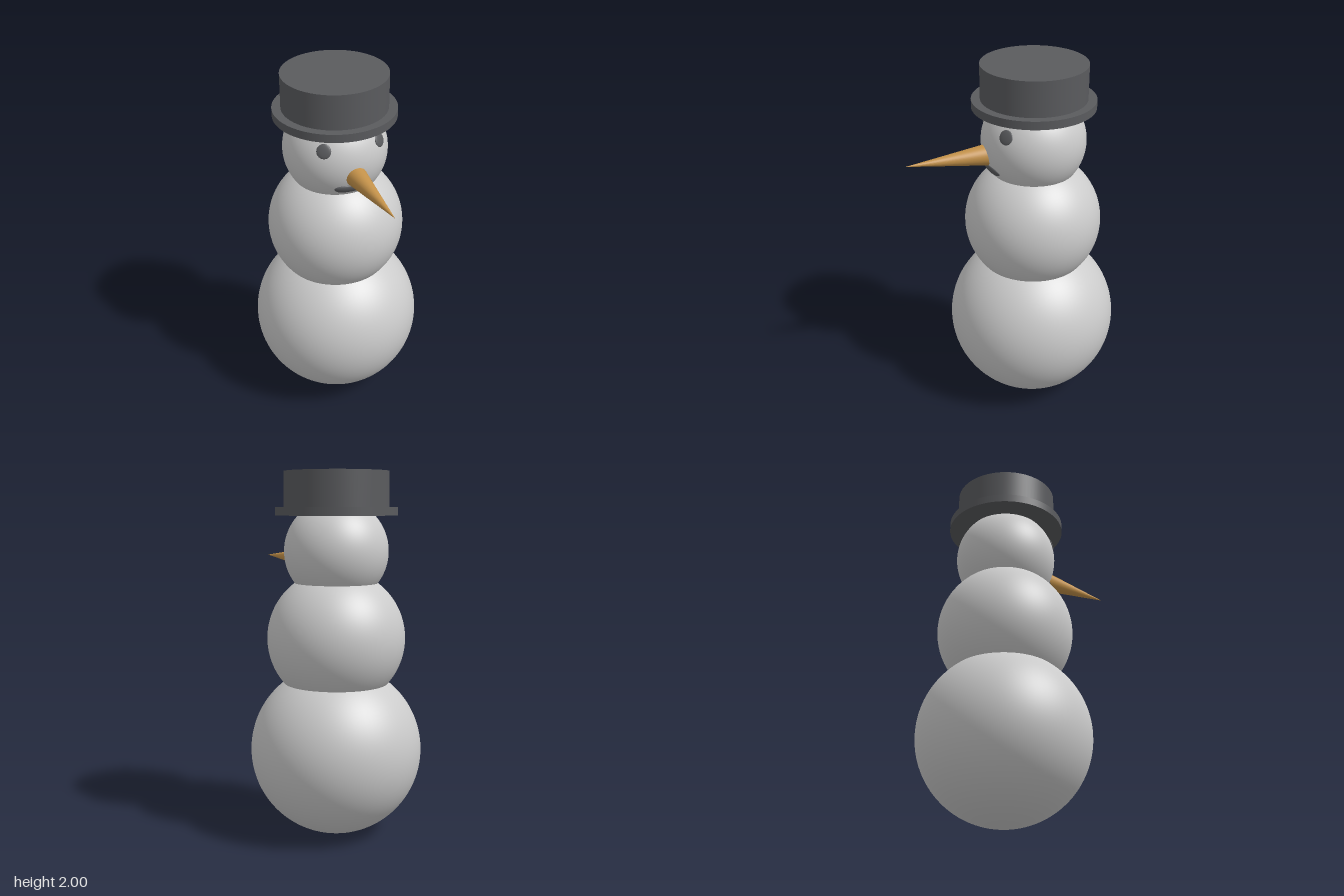
import * as THREE from 'three';

const AXIS_Z = -0.122;                       // the body's vertical axis
const HEAD = { r: 0.284, y: 1.573 };

const snow = new THREE.MeshStandardMaterial({ color: 0xcccccc });
const coal = new THREE.MeshStandardMaterial({ color: 0x5a5b5e });
const carrot = new THREE.MeshStandardMaterial({ color: 0xc4924a });

function add(parent, name, geometry, material, x, y, z) {
  const mesh = new THREE.Mesh(geometry, material);
  mesh.name = name;
  mesh.position.set(x, y, z);
  parent.add(mesh);
  return mesh;
}

// Lays a shape modelled in the xy plane onto the front of the head ball
function wrapOnHead(geometry, dy) {
  const p = geometry.attributes.position;
  const v = new THREE.Vector3();
  for (let i = 0; i < p.count; i++) {
    v.fromBufferAttribute(p, i);
    const offset = v.z;
    const y = v.y + dy;
    v.set(v.x, y, Math.sqrt(HEAD.r ** 2 - v.x ** 2 - y ** 2));
    v.multiplyScalar(1 + offset / HEAD.r);
    p.setXYZ(i, v.x, v.y, v.z);
  }
  geometry.computeVertexNormals();
  return geometry;
}

export function createModel() {
  const model = new THREE.Group();
  model.name = 'snowman';

  // Stacked snowballs
  for (const [name, r, y] of [
    ['lowerBody', 0.474, 0.474],
    ['upperBody', 0.379, 1.098],
    ['head', HEAD.r, HEAD.y],
  ]) {
    add(model, name, new THREE.SphereGeometry(r, 80, 56), snow, 0, y, AXIS_Z);
  }

  // Top hat
  const hat = new THREE.Group();
  hat.name = 'hat';
  model.add(hat);
  add(hat, 'hatBrim', new THREE.CylinderGeometry(0.331, 0.331, 0.045, 80), coal, 0, 1.788, AXIS_Z);
  add(hat, 'hatCrown', new THREE.CylinderGeometry(0.284, 0.284, 0.2, 80), coal, 0, 1.9, AXIS_Z);

  // Carrot nose, its base sunk into the head
  const nose = add(model, 'nose', new THREE.ConeGeometry(0.062, 0.478, 40), carrot, 0, 1.525, 0.349);
  nose.rotation.x = Math.PI / 2;

  // Button eyes, flattened along the head's surface normal
  for (const side of [1, -1]) {
    const dir = new THREE.Vector3(side * 0.157, 0.105, 0.213).normalize();
    const eye = add(model, side > 0 ? 'leftEye' : 'rightEye',
      new THREE.SphereGeometry(0.039, 32, 20), coal, 0, 0, 0);
    eye.position.copy(dir).multiplyScalar(HEAD.r).add(new THREE.Vector3(0, HEAD.y, AXIS_Z));
    eye.quaternion.setFromUnitVectors(new THREE.Vector3(0, 0, 1), dir);
    eye.scale.z = 0.22;
  }

  // Mouth, a flattened rounded bar that follows the head
  const mouth = new THREE.CapsuleGeometry(0.05, 0.116, 10, 28, 12);
  mouth.rotateZ(Math.PI / 2).scale(1, 0.48, 0.24);
  add(model, 'mouth', wrapOnHead(mouth, -0.12), coal, 0, HEAD.y, AXIS_Z);

  return model;
}
